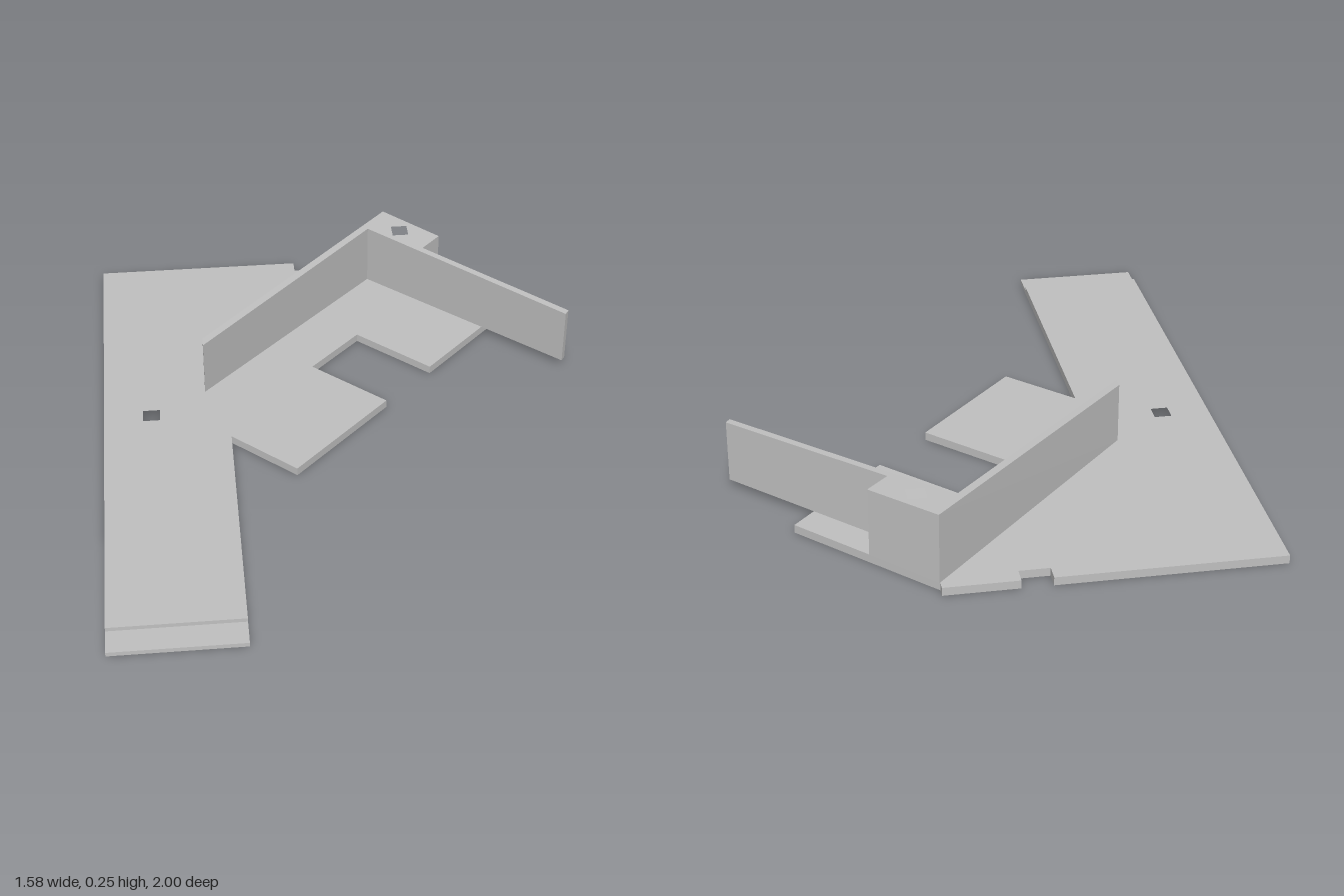
import * as THREE from 'three';

const PLATE_TOP = 0.027;

// Extrudes a plan outline of [x, z] points upward from y = bottom
function slab(name, outline, holes, bottom, height, material) {
  const points = (list) => list.map(([x, z]) => new THREE.Vector2(x, -z));
  const shape = new THREE.Shape(points(outline));
  for (const [x, z] of holes) {
    const r = 0.028;
    shape.holes.push(new THREE.Path(points([[x - r, z - r], [x + r, z - r], [x + r, z + r], [x - r, z + r]])));
  }
  const geometry = new THREE.ExtrudeGeometry(shape, { depth: height, bevelEnabled: false });
  geometry.rotateX(-Math.PI / 2).translate(0, bottom, 0);
  const mesh = new THREE.Mesh(geometry, material);
  mesh.name = name;
  return mesh;
}

export function createModel() {
  const group = new THREE.Group();
  group.name = 'bracketPlate';
  const grey = new THREE.MeshStandardMaterial({ color: 0xc0c0c0 });
  grey.name = 'plainGrey';

  const plateHole = [-0.638, -0.107];
  const cornerHole = [0.277, -0.843];

  // Flat base with a notched rear edge, a slotted side and a long arm
  const base = slab('basePlate', [
    [-0.795, -1], [-0.095, -1], [-0.095, -0.95], [0, -0.95], [0, -1], [0.23, -1], [0.23, -0.972],
    [0.613, -0.6], [0.318, -0.292], [0.09, -0.511], [-0.083, -0.333], [0.147, -0.113],
    [-0.18, 0.224], [-0.38, 0.033], [-0.38, 0.91], [-0.795, 0.91],
  ], [plateHole, cornerHole], 0, PLATE_TOP, grey);

  // Thinner step at the end of the arm
  const lip = slab('armLip', [[-0.795, 0.91], [-0.38, 0.91], [-0.38, 1], [-0.795, 1]], [], 0, 0.014, grey);

  // Angled walls meeting in a thick corner block
  const walls = slab('angledWalls', [
    [-0.455, -0.262], [0.232, -0.974], [0.412, -0.795], [0.345, -0.726], [0.788, -0.304],
    [0.775, -0.284], [0.165, -0.866], [-0.455, -0.224],
  ], [cornerHole], PLATE_TOP, 0.19, grey);

  // Tilt the wall tops toward the front and lean the walls to match
  const p = walls.geometry.attributes.position;
  for (let i = 0; i < p.count; i++) {
    if (p.getY(i) < 0.1) continue;
    const z = p.getZ(i);
    p.setY(i, 0.222 - 0.037 * (z + 0.22));
    p.setZ(i, z + 0.008);
  }
  walls.geometry.computeVertexNormals();

  group.add(base, lip, walls);
  return group;
}
